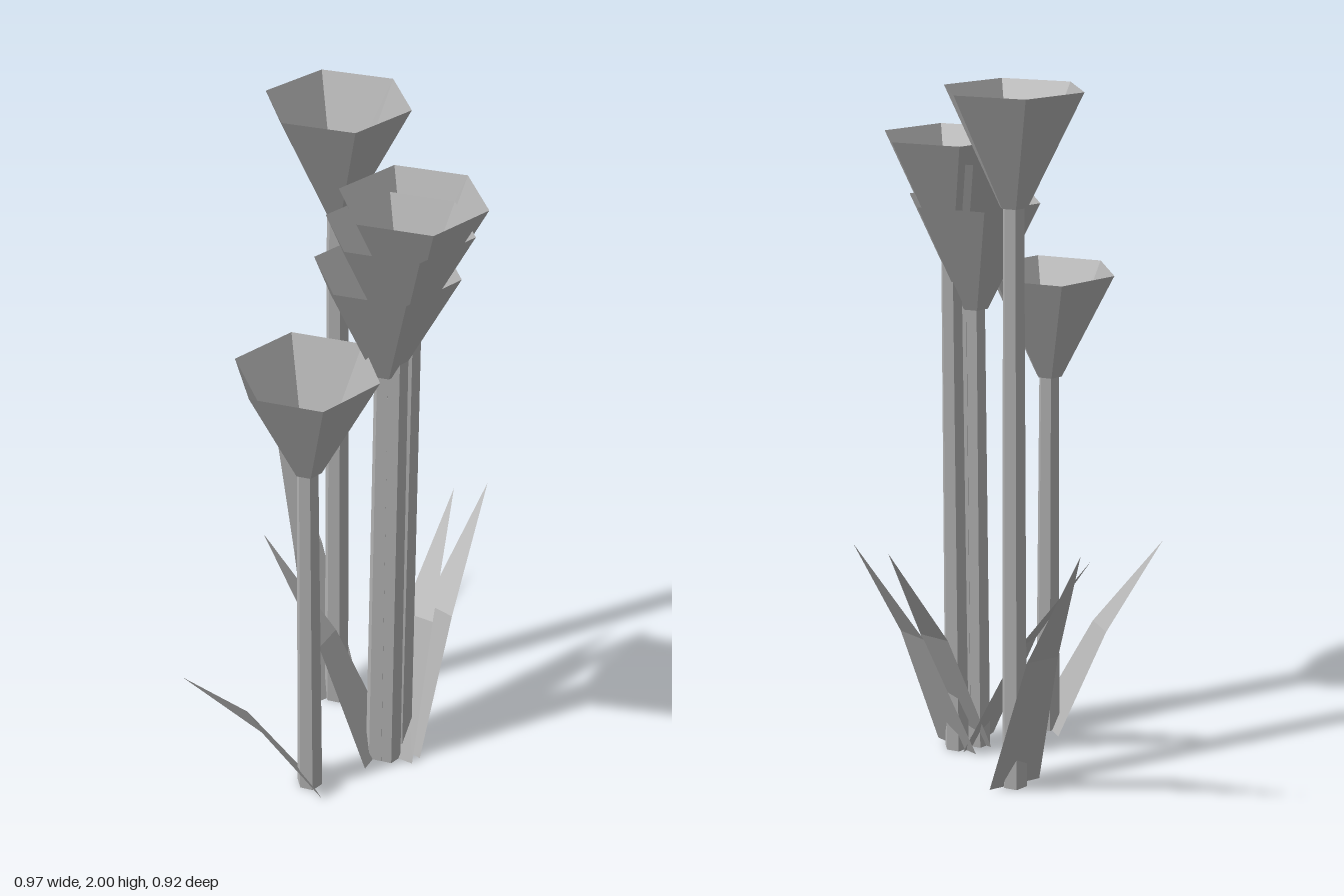
import * as THREE from 'three';

// One entry per plant: stem position, rim height, leaf tip
const PLANTS = [
  { x: 0.045, z: -0.09, top: 2.0, tip: [-0.07, 0.84, -0.46] },
  { x: -0.115, z: 0.265, top: 1.43, tip: [-0.485, 0.55, 0.355] },
  { x: 0.177, z: 0.177, top: 1.84, tip: [0.488, 0.76, -0.06] },
  { x: 0.137, z: 0.205, top: 1.785, tip: [0.395, 0.735, -0.088] },
  { x: 0.11, z: 0.19, top: 1.66, tip: [-0.175, 0.67, -0.075] },
];
const CUP_HEIGHT = 0.31;

// Bent blade: wide foot, narrower bend, pointed tip
function leafGeometry(tip) {
  const [tx, ty, tz] = tip;
  const reach = Math.hypot(tx, tz);
  const sx = -tz / reach, sz = tx / reach; // sideways direction
  const points = [];
  for (const [out, up, half] of [[0, 0, 0.08], [0.45, 0.55, 0.048]]) {
    for (const s of [-half, half]) {
      points.push(tx * out + sx * s, ty * up, tz * out + sz * s);
    }
  }
  points.push(tx, ty, tz);
  const g = new THREE.BufferGeometry();
  g.setAttribute('position', new THREE.Float32BufferAttribute(points, 3));
  g.setIndex([0, 2, 1, 1, 2, 3, 2, 4, 3]);
  const flat = g.toNonIndexed();
  flat.computeVertexNormals();
  return flat;
}

export function createModel() {
  const model = new THREE.Group();
  model.name = 'flowerClump';

  const grey = new THREE.MeshStandardMaterial({
    color: 0xb0b0b0, flatShading: true, side: THREE.DoubleSide,
  });
  grey.name = 'plain grey';

  // Open six-sided cup with a small floor
  const cupGeometry = new THREE.LatheGeometry([
    new THREE.Vector2(0, 0),
    new THREE.Vector2(0.039, 0),
    new THREE.Vector2(0.194, CUP_HEIGHT),
  ], 6);

  const add = (parent, name, geometry, y) => {
    const mesh = new THREE.Mesh(geometry, grey);
    mesh.name = name;
    mesh.position.y = y;
    parent.add(mesh);
  };

  PLANTS.forEach(({ x, z, top, tip }, i) => {
    const plant = new THREE.Group();
    plant.name = `flower${i + 1}`;
    plant.position.set(x, 0, z);

    const stemHeight = top - CUP_HEIGHT;
    add(plant, 'stem', new THREE.CylinderGeometry(0.03, 0.038, stemHeight, 6), stemHeight / 2);
    add(plant, 'cup', cupGeometry, stemHeight);
    add(plant, 'leaf', leafGeometry([tip[0] - x, tip[1], tip[2] - z]), 0);

    model.add(plant);
  });

  return model;
}
